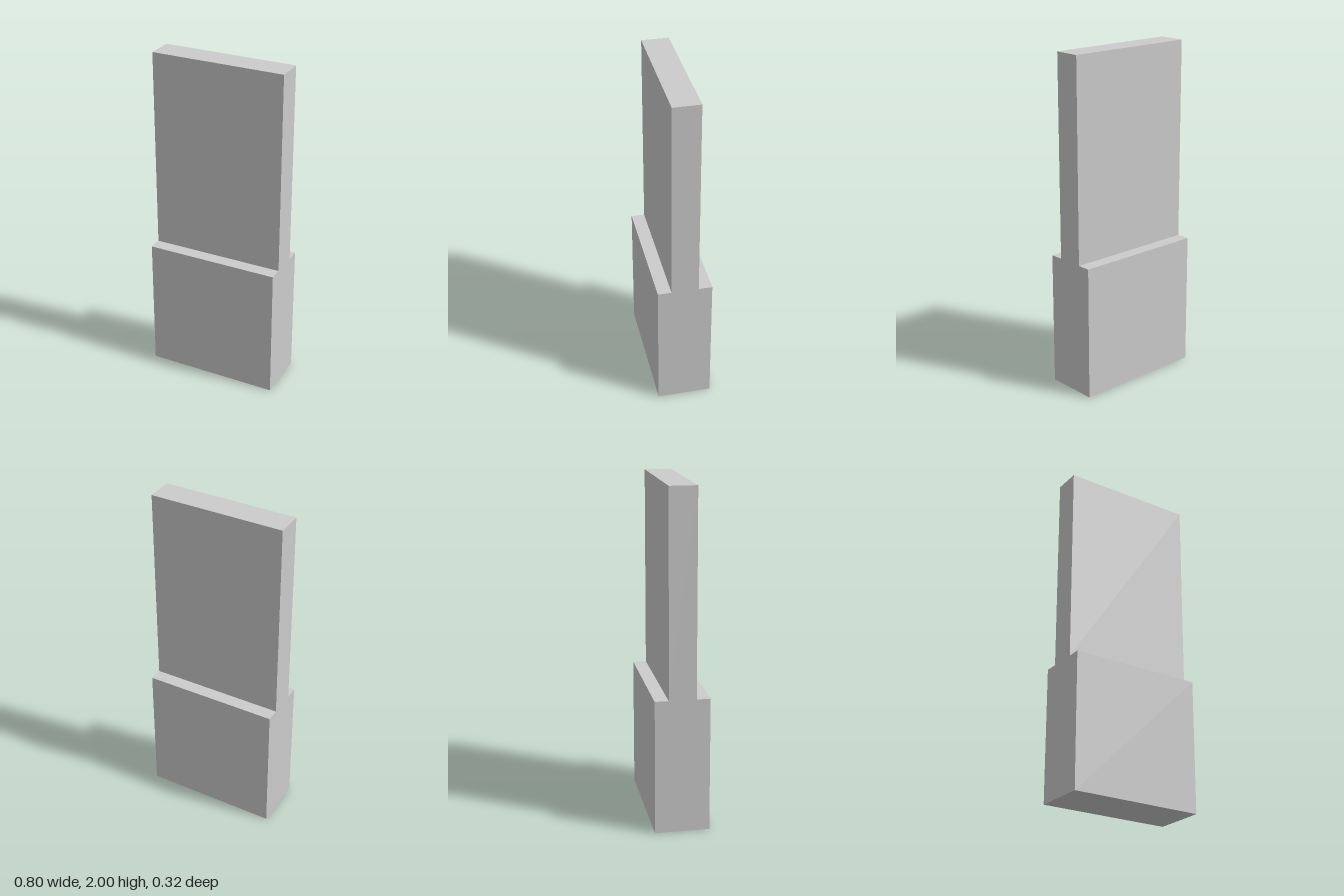
import * as THREE from 'three';

const WIDTH = 0.8, HEIGHT = 2, STEP = 0.8;
const BASE_HALF = 0.16, PANEL_HALF = 0.08;

export function createModel() {
  const group = new THREE.Group();
  group.name = 'steppedSlab';

  // Side profile: thick base with a thinner upright panel, one solid piece
  const half = [[BASE_HALF, 0], [BASE_HALF, STEP], [PANEL_HALF, STEP], [PANEL_HALF, HEIGHT]];
  const mirrored = half.map(([z, y]) => [-z, y]).reverse();
  const profile = new THREE.Shape([...half, ...mirrored].map(([z, y]) => new THREE.Vector2(z, y)));

  // Extrude the profile across the width
  const geometry = new THREE.ExtrudeGeometry(profile, { depth: WIDTH, bevelEnabled: false });
  geometry.translate(0, 0, -WIDTH / 2).rotateY(Math.PI / 2);

  const slab = new THREE.Mesh(geometry, new THREE.MeshStandardMaterial({ color: 0xcccccc }));
  slab.name = 'baseAndPanel';
  group.add(slab);
  return group;
}
